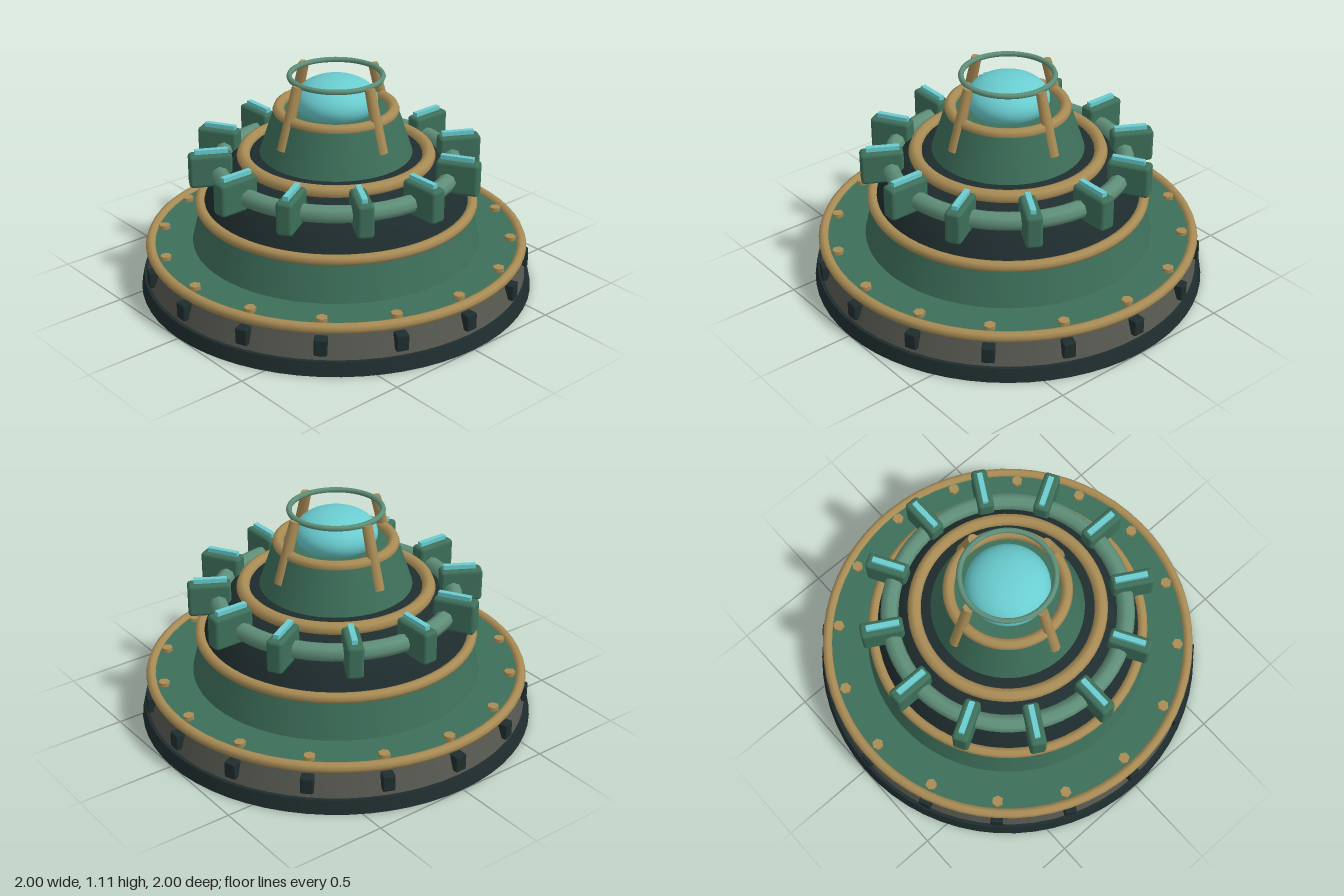
import * as THREE from 'three';
import { RoundedBoxGeometry } from 'three/addons/geometries/RoundedBoxGeometry.js';

const mat = (color) => new THREE.MeshStandardMaterial({ color });
const GREEN = mat(0x3d6f5a), PALE = mat(0x5f8f79), GOLD = mat(0xa98c55);
const DARK = mat(0x1f2d2e), GREY = mat(0x55574f), CYAN = mat(0x6acdd0);
const SIDES = 64;

export function createModel() {
  const model = new THREE.Group();

  const add = (name, geometry, material, x = 0, y = 0, z = 0, parent = model) => {
    const mesh = new THREE.Mesh(geometry, material);
    mesh.name = name;
    mesh.position.set(x, y, z);
    parent.add(mesh);
    return mesh;
  };

  // Tapered round tier from y0 to y1
  const tier = (name, material, rBottom, rTop, y0, y1) =>
    add(name, new THREE.CylinderGeometry(rTop, rBottom, y1 - y0, SIDES), material, 0, (y0 + y1) / 2, 0);

  // Horizontal ring
  const ring = (name, material, radius, tube, y) =>
    add(name, new THREE.TorusGeometry(radius, tube, 8, SIDES).rotateX(Math.PI / 2), material, 0, y, 0);

  // Repeats a part around the axis; +z of each group points outward
  const around = (name, count, build) => {
    for (let i = 0; i < count; i++) {
      const group = new THREE.Group();
      group.name = name;
      group.rotation.y = (i / count) * Math.PI * 2;
      build(group);
      model.add(group);
    }
  };

  // Stepped base
  tier('foot', DARK, 1, 0.985, 0, 0.07);
  tier('baseWall', GREY, 0.968, 0.925, 0.07, 0.2);
  tier('deck', GREEN, 0.935, 0.935, 0.2, 0.232);
  ring('deckRing', GOLD, 0.944, 0.026, 0.225);
  tier('lowerBody', GREEN, 0.732, 0.68, 0.23, 0.44);
  ring('bodyRing', GOLD, 0.687, 0.027, 0.44);

  // Dark curved shoulder
  const shoulder = new THREE.SplineCurve([
    [0.67, 0.44], [0.61, 0.56], [0.54, 0.635], [0.46, 0.68], [0.36, 0.705],
  ].map(([x, y]) => new THREE.Vector2(x, y))).getPoints(12);
  shoulder.push(new THREE.Vector2(0, 0.71));
  add('shoulder', new THREE.LatheGeometry(shoulder, SIDES), DARK);
  ring('shoulderRing', GOLD, 0.463, 0.034, 0.685);

  // Upper cone and glowing lens
  tier('upperBody', GREEN, 0.385, 0.308, 0.69, 0.925);
  ring('upperRing', GOLD, 0.285, 0.029, 0.925);
  const lens = add('lens', new THREE.SphereGeometry(0.207, 40, 24), CYAN, 0, 0.972, 0);
  lens.scale.y = 0.58;
  ring('cageRing', PALE, 0.229, 0.014, 1.097);

  // Leaning cage struts
  const from = new THREE.Vector3(0, 0.79, 0.338), to = new THREE.Vector3(0, 1.097, 0.246);
  around('cageStrut', 4, (g) => {
    const strut = add('strut', new THREE.CylinderGeometry(0.026, 0.031, from.distanceTo(to), 8), GOLD, 0, 0, 0, g);
    strut.position.lerpVectors(from, to, 0.5);
    strut.quaternion.setFromUnitVectors(new THREE.Vector3(0, 1, 0), to.clone().sub(from).normalize());
  });

  // Carrier ring with twelve lit blocks
  ring('carrierRing', PALE, 0.59, 0.045, 0.63);
  around('emitter', 12, (g) => {
    add('block', new RoundedBoxGeometry(0.082, 0.17, 0.215, 3, 0.018), GREEN, 0, 0.65, 0.632, g);
    add('lightStrip', new THREE.BoxGeometry(0.027, 0.03, 0.165), CYAN, 0, 0.742, 0.625, g);
  });

  // Deck bolts and wall clamps
  around('fixing', 16, (g) => {
    add('bolt', new THREE.CylinderGeometry(0.029, 0.029, 0.03, 6), GOLD, 0, 0.237, 0.888, g);
    add('clamp', new RoundedBoxGeometry(0.062, 0.085, 0.07, 2, 0.008), DARK, 0, 0.138, 0.947, g);
  });

  return model;
}
